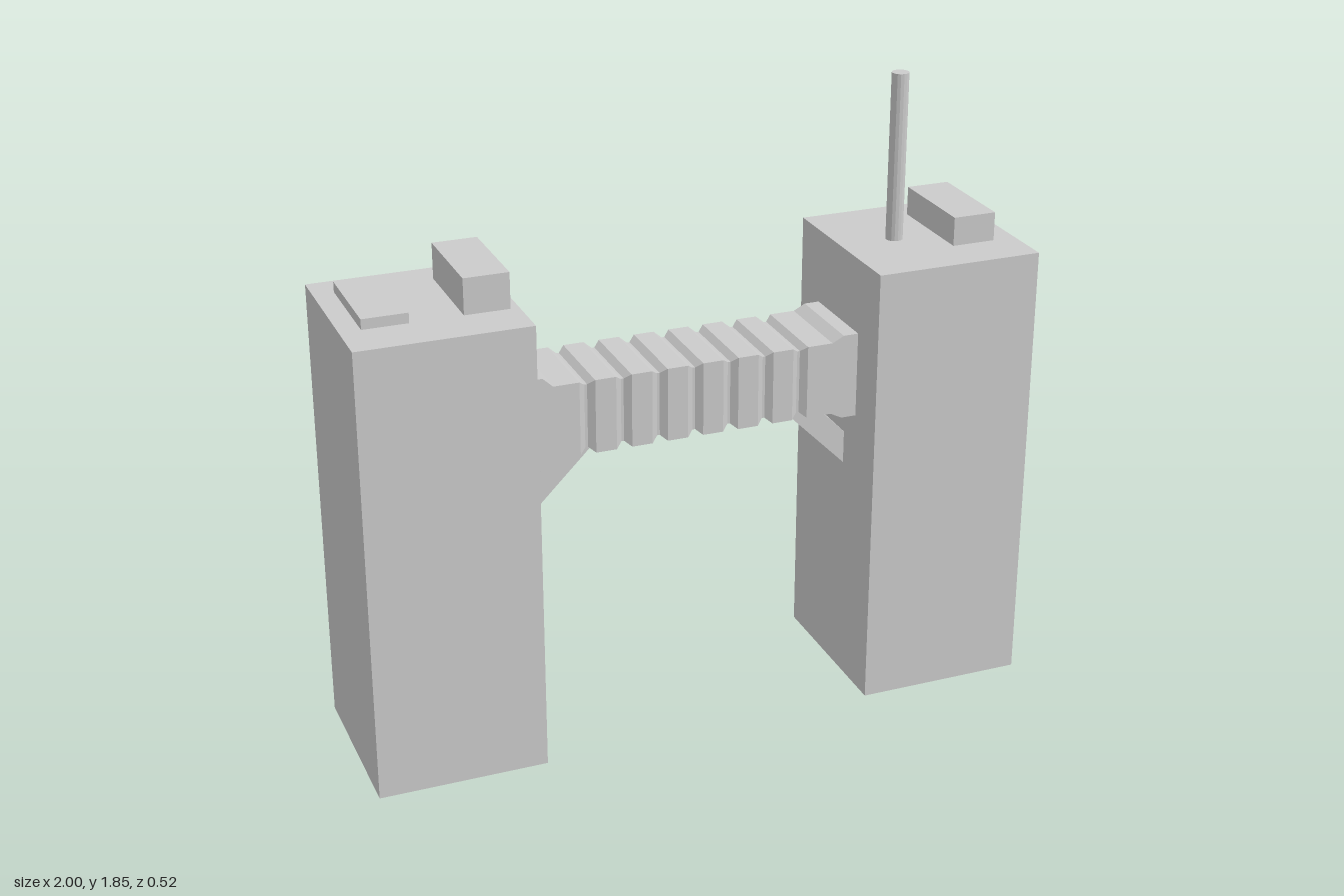
import * as THREE from 'three';

const material = new THREE.MeshStandardMaterial({ color: 0xcccccc, flatShading: true });

function add(group, name, geometry) {
  const mesh = new THREE.Mesh(geometry, material);
  mesh.name = name;
  group.add(mesh);
}

// Box given by its limits on each axis
function span(x0, x1, y0, y1, z0, z1) {
  return new THREE.BoxGeometry(x1 - x0, y1 - y0, z1 - z0)
    .translate((x0 + x1) / 2, (y0 + y1) / 2, (z0 + z1) / 2);
}

// Rectangular tube lofted along x through stations [x, halfHeight, halfDepth]
function loft(stations, cy, cz) {
  const positions = [], index = [];
  for (const [x, h, d] of stations) {
    for (const [sy, sz] of [[-1, 1], [1, 1], [1, -1], [-1, -1]]) {
      positions.push(x, cy + sy * h, cz + sz * d);
    }
  }
  for (let i = 0; i < stations.length - 1; i++) {
    for (let j = 0; j < 4; j++) {
      const a = i * 4 + j, b = i * 4 + (j + 1) % 4;
      index.push(a, a + 4, b, b, a + 4, b + 4);
    }
  }
  const e = (stations.length - 1) * 4;
  index.push(0, 1, 2, 0, 2, 3, e, e + 2, e + 1, e, e + 3, e + 2);
  const geometry = new THREE.BufferGeometry();
  geometry.setAttribute('position', new THREE.Float32BufferAttribute(positions, 3));
  geometry.setIndex(index);
  const flat = geometry.toNonIndexed();
  flat.computeVertexNormals();
  return flat;
}

// Diagonal strut: outline in x-y, extruded along z
function strut(points) {
  const shape = new THREE.Shape(points.map(([x, y]) => new THREE.Vector2(x, y)));
  return new THREE.ExtrudeGeometry(shape, { depth: 0.13, bevelEnabled: false })
    .translate(0, 0, -0.07);
}

export function createModel() {
  const model = new THREE.Group();
  model.name = 'linkedTowers';

  // Towers
  add(model, 'rightTower', span(-1, -0.505, 0, 1.35, -0.26, 0.26));
  add(model, 'leftTower', span(0.5, 1, 0, 1.35, -0.26, 0.26));

  // Roof boxes and mast
  add(model, 'lowRoofHatch', span(-0.94, -0.81, 1.35, 1.38, -0.175, 0.12));
  add(model, 'tallRoofUnit', span(-0.66, -0.53, 1.35, 1.455, -0.175, 0.12));
  add(model, 'roofUnit', span(0.8, 0.93, 1.35, 1.435, -0.175, 0.12));
  add(model, 'mast', new THREE.CylinderGeometry(0.025, 0.025, 0.495, 16).translate(0.67, 1.5975, 0));

  // Bellows bridge: end collars with seven pinched grooves between them
  const stations = [[-0.505, 0.138, 0.135], [-0.45, 0.138, 0.135], [-0.42, 0.11, 0.135]];
  for (let i = -3; i <= 3; i++) {
    const x = i * 0.107;
    stations.push([x - 0.023, 0.11, 0.135], [x - 0.004, 0.095, 0.12],
      [x + 0.004, 0.095, 0.12], [x + 0.023, 0.11, 0.135]);
  }
  stations.push([0.42, 0.11, 0.135], [0.455, 0.128, 0.135], [0.5, 0.128, 0.135]);
  add(model, 'bellowsBridge', loft(stations, 1, -0.003));

  // Struts under the bridge, their tops tucked inside it
  add(model, 'rightStrut', strut([[-0.505, 0.66], [-0.265, 0.9], [-0.365, 0.9], [-0.505, 0.76]]));
  add(model, 'leftStrut', strut([[0.5, 0.69], [0.5, 0.79], [0.39, 0.9], [0.29, 0.9]]));

  return model;
}
